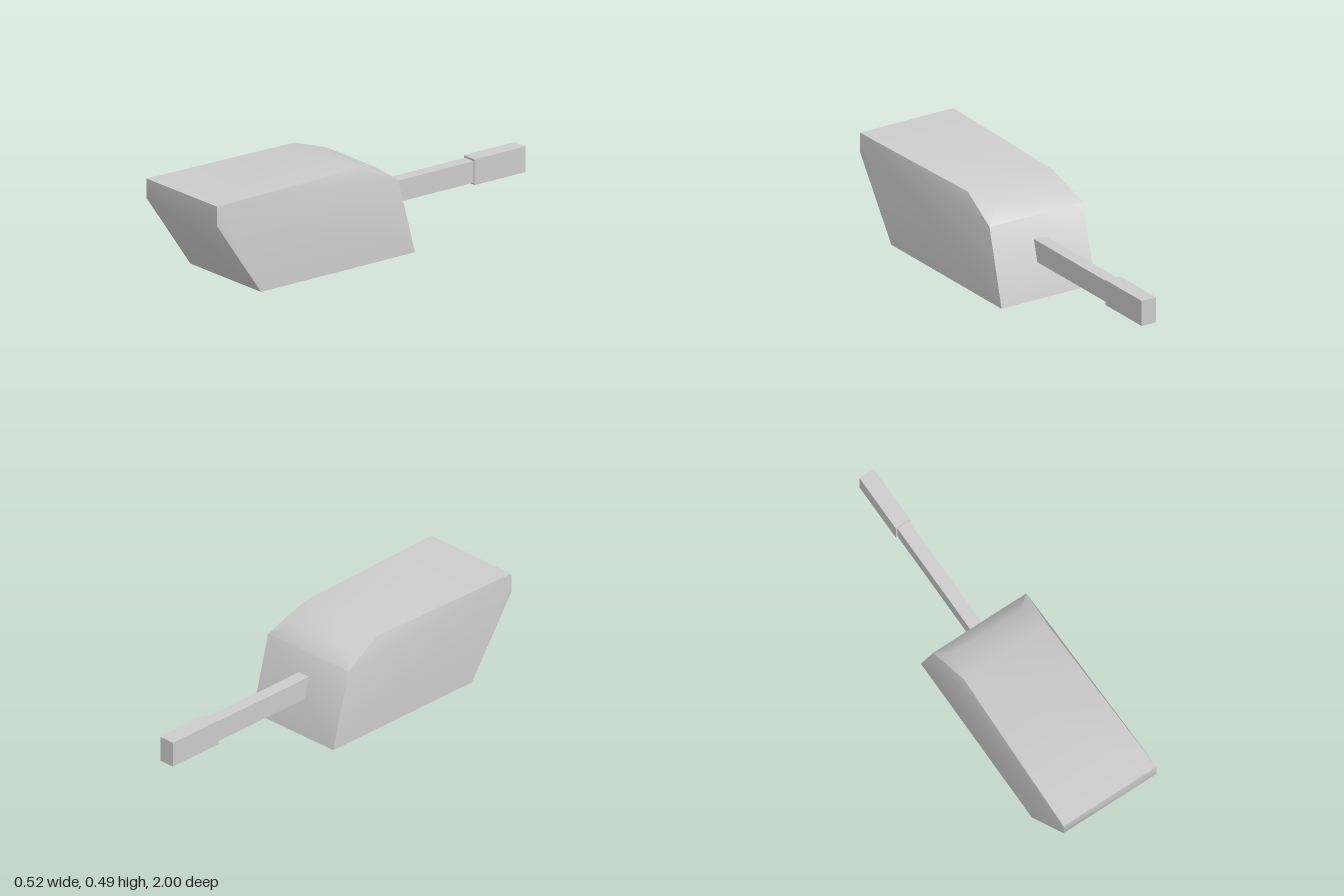
import * as THREE from 'three';
import { toCreasedNormals } from 'three/addons/utils/BufferGeometryUtils.js';

const material = new THREE.MeshStandardMaterial({ color: 0xcccccc });

// Box given by half width and its y and z ranges, centred on x = 0
function block(name, halfWidth, y0, y1, z0, z1) {
  const mesh = new THREE.Mesh(new THREE.BoxGeometry(halfWidth * 2, y1 - y0, z1 - z0), material);
  mesh.position.set(0, (y0 + y1) / 2, (z0 + z1) / 2);
  mesh.name = name;
  return mesh;
}

// Wedge-shaped head: a side profile whose rear top corners are pinched inwards
function headGeometry() {
  // [half width, y, z], running from the front top edge backwards and round
  const ring = [
    [0.26, 0.49, 1], [0.235, 0.49, 0.145], [0.18, 0.45, 0], [0.26, 0.395, -0.07],
    [0.26, 0.02, -0.17], [0.26, 0.02, 0.74], [0.26, 0.395, 1],
  ];
  const positions = [];
  const put = (i, side) => positions.push(ring[i][0] * side, ring[i][1], ring[i][2]);

  // Strips across the width
  for (let i = 0; i < ring.length; i++) {
    const j = (i + 1) % ring.length;
    put(i, 1); put(j, 1); put(j, -1);
    put(i, 1); put(j, -1); put(i, -1);
  }

  // Mirrored sides: two pinched corner facets, then the flat wall
  const sideFaces = [[0, 1, 3], [1, 2, 3], [0, 3, 4], [0, 4, 5], [0, 5, 6]];
  for (const [a, b, c] of sideFaces) {
    put(a, 1); put(c, 1); put(b, 1);
    put(a, -1); put(b, -1); put(c, -1);
  }

  const geometry = new THREE.BufferGeometry();
  geometry.setAttribute('position', new THREE.Float32BufferAttribute(positions, 3));
  return toCreasedNormals(geometry, THREE.MathUtils.degToRad(40));
}

export function createModel() {
  const model = new THREE.Group();
  model.name = 'model';

  const head = new THREE.Mesh(headGeometry(), material);
  head.name = 'head';

  model.add(
    head,
    block('basePad', 0.21, 0, 0.012, 0.05, 0.64),
    block('handle', 0.032, 0.185, 0.29, -0.7, -0.08),
    block('grip', 0.04, 0.175, 0.3, -1, -0.7),
  );
  return model;
}
